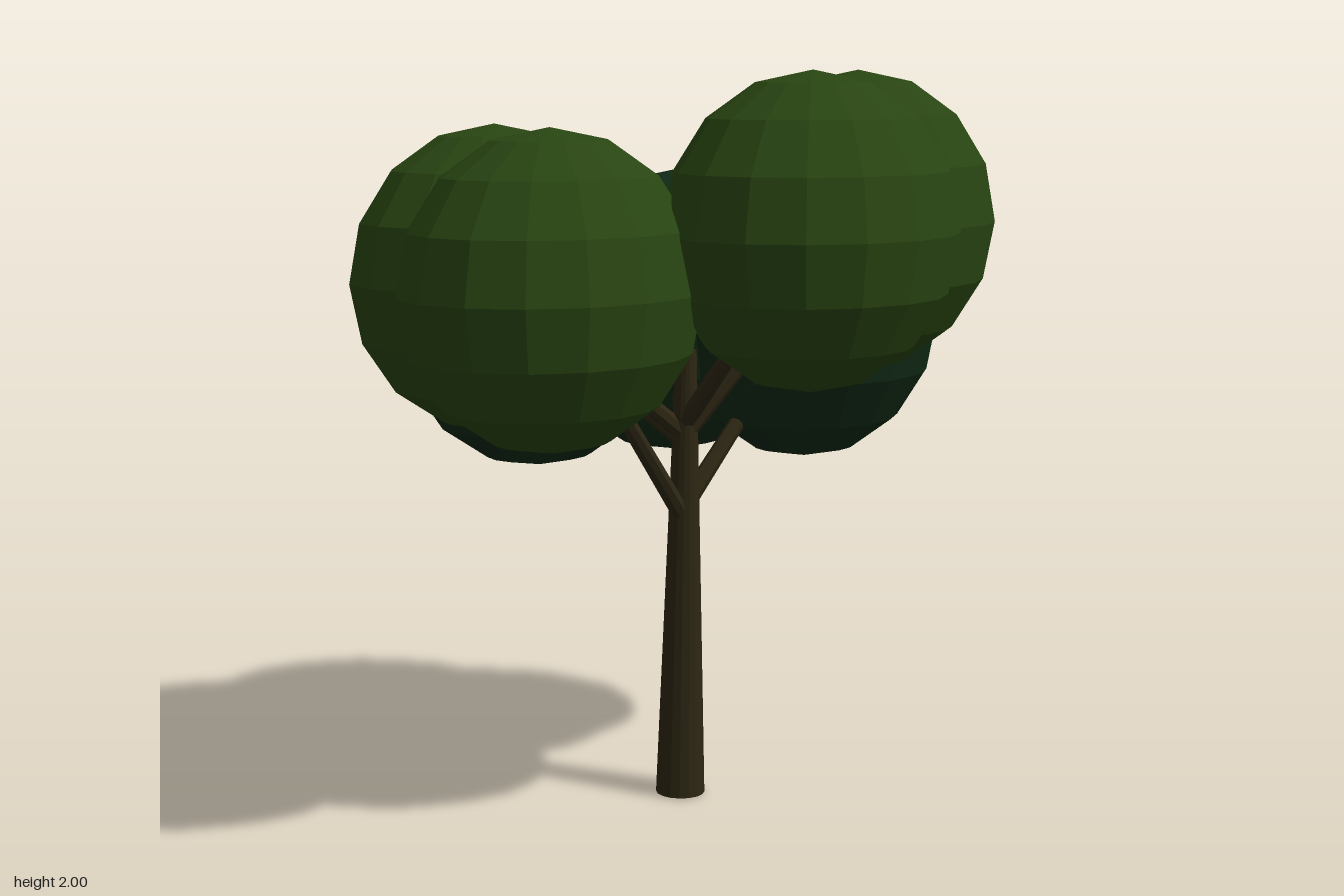
import * as THREE from 'three';

const material = (name, color) => {
  const m = new THREE.MeshStandardMaterial({ color, flatShading: true });
  m.name = name;
  return m;
};

// Tapered cylinder running from one point to another
function limb(name, from, to, r0, r1, sides, mat) {
  const a = new THREE.Vector3(...from);
  const b = new THREE.Vector3(...to);
  const dir = b.clone().sub(a);
  const mesh = new THREE.Mesh(new THREE.CylinderGeometry(r1, r0, dir.length(), sides), mat);
  mesh.position.copy(a).add(b).multiplyScalar(0.5);
  mesh.quaternion.setFromUnitVectors(new THREE.Vector3(0, 1, 0), dir.normalize());
  mesh.name = name;
  return mesh;
}

export function createModel() {
  const tree = new THREE.Group();
  tree.name = 'tree';
  const bark = material('bark brown', 0x2c2613);
  const light = material('light leaf green', 0x294512);
  const dark = material('dark leaf green', 0x0f2814);

  // Slightly leaning trunk
  tree.add(limb('trunk', [-0.007, 0.003, 0], [0.021, 1.25, -0.005], 0.068, 0.028, 16, bark));

  // Leaf clusters: centre, colour and height where the branch leaves the trunk
  const clusters = [
    [[0.04, 1.59, 0.435], light, 1.05],
    [[0.43, 1.59, 0.24], light, 1.02],
    [[-0.515, 1.45, 0.065], light, 0.78],
    [[-0.39, 1.45, -0.31], light, 1.02],
    [[-0.14, 1.305, -0.44], dark, 1.0],
    [[0.31, 1.305, -0.365], dark, 1.0],
    [[0.51, 1.305, -0.02], dark, 0.82],
  ];
  const ball = new THREE.SphereGeometry(0.41, 16, 8);
  ball.scale(1, 1, 0.866);

  clusters.forEach(([centre, mat, startY], i) => {
    const leaves = new THREE.Mesh(ball, mat);
    leaves.position.set(...centre);
    leaves.name = `leafCluster${i + 1}`;
    tree.add(leaves);
    tree.add(limb(`branch${i + 1}`, [0.01, startY, 0], centre, 0.026, 0.018, 8, bark));
  });

  return tree;
}
